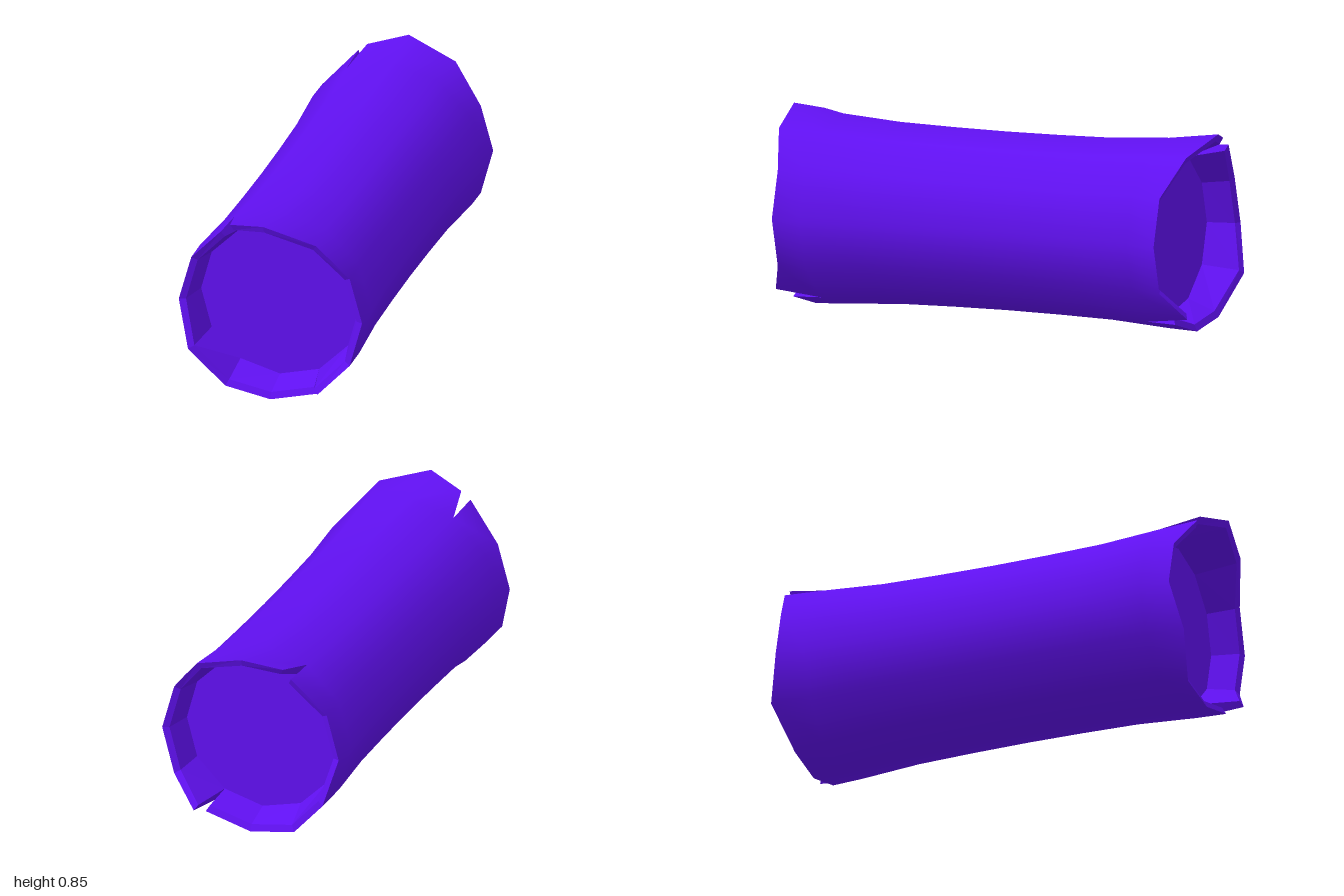
import * as THREE from 'three';
import { toCreasedNormals } from 'three/addons/utils/BufferGeometryUtils.js';

const CY = 0.41;      // height of the axis
const Z_CAP = 0.77;   // where the solid core ends and the split rim begins
const R_OUT = 0.405, R_IN = 0.348;

// Two runs of rim corners, counter-clockwise, with a notch between them
const RUNS = [
  { start: -60, tips: [[0.23, 0.085, 0.97], [0.35, 0.205, 0.9], [0.405, 0.41, 0.9], [0.35, 0.61, 0.9],
    [0.22, 0.77, 0.96], [0, 0.845, 1], [-0.165, 0.805, 0.94]] },
  { start: 120, tips: [[-0.205, 0.77, 0.945], [-0.35, 0.61, 0.9], [-0.405, 0.41, 0.9], [-0.35, 0.205, 0.945],
    [-0.2, 0.035, 0.9], [0, 0, 0.9], [0.205, 0.055, 0.9]] },
];

const onRing = (deg, r, z) => {
  const a = THREE.MathUtils.degToRad(deg);
  return [r * Math.cos(a), CY + r * Math.sin(a), z];
};

// Rim corner moved inwards by the wall thickness
const inset = ([x, y, z]) => [x * 0.93, CY + (y - CY) * 0.93, z - 0.012];

// Adds a quad; side -1 mirrors it to the back end
function quad(out, side, a, b, c, d) {
  const p = [a, b, c, d].map(([x, y, z]) => [x, y, z * side]);
  if (side < 0) p.reverse();
  for (const i of [0, 1, 2, 0, 2, 3]) out.push(...p[i]);
}

function toGeometry(list) {
  const g = new THREE.BufferGeometry();
  g.setAttribute('position', new THREE.Float32BufferAttribute(list, 3));
  return g;
}

export function createModel() {
  const group = new THREE.Group();
  const smooth = new THREE.MeshStandardMaterial({ color: 0x6010f0 });
  const flat = new THREE.MeshStandardMaterial({ color: 0x6010f0, flatShading: true });
  const add = (name, geometry, material) => {
    const mesh = new THREE.Mesh(geometry, material);
    mesh.name = name;
    group.add(mesh);
  };

  // Waisted twelve-sided body
  const shell = [];
  const profile = [[-Z_CAP, R_OUT], [-0.5, 0.387], [-0.25, 0.382], [0, 0.38], [0.25, 0.382], [0.5, 0.387], [Z_CAP, R_OUT]];
  for (let k = 0; k < profile.length - 1; k++) {
    const [z0, r0] = profile[k], [z1, r1] = profile[k + 1];
    for (let a = 0; a < 360; a += 30) {
      quad(shell, 1, onRing(a, r0, z0), onRing(a + 30, r0, z0), onRing(a + 30, r1, z1), onRing(a, r1, z1));
    }
  }

  // Flared, split rims on both ends
  for (const side of [1, -1]) {
    const rim = [];
    for (const { start, tips } of RUNS) {
      const outer = tips.map((_, i) => onRing(start + i * 30, R_OUT, Z_CAP));
      const inner = tips.map((_, i) => onRing(start + i * 30, R_IN, Z_CAP));
      const lip = tips.map(inset);
      const n = tips.length - 1;
      for (let i = 0; i < n; i++) {
        quad(shell, side, outer[i], outer[i + 1], tips[i + 1], tips[i]);
        quad(rim, side, tips[i], tips[i + 1], lip[i + 1], lip[i]);
        quad(rim, side, lip[i], lip[i + 1], inner[i + 1], inner[i]);
      }
      // Cut faces of the notches
      quad(rim, side, outer[0], tips[0], lip[0], inner[0]);
      quad(rim, side, inner[n], lip[n], tips[n], outer[n]);
    }
    const end = side > 0 ? 'front' : 'back';
    const rimGeometry = toGeometry(rim);
    rimGeometry.computeVertexNormals();
    add(end + 'Rim', rimGeometry, flat);

    // Recessed end face
    const cap = new THREE.CircleGeometry(R_IN, 12);
    if (side < 0) cap.rotateY(Math.PI);
    cap.translate(0, CY, side * Z_CAP);
    add(end + 'EndFace', cap, flat);
  }

  add('body', toCreasedNormals(toGeometry(shell), 0.75), smooth);
  return group;
}
